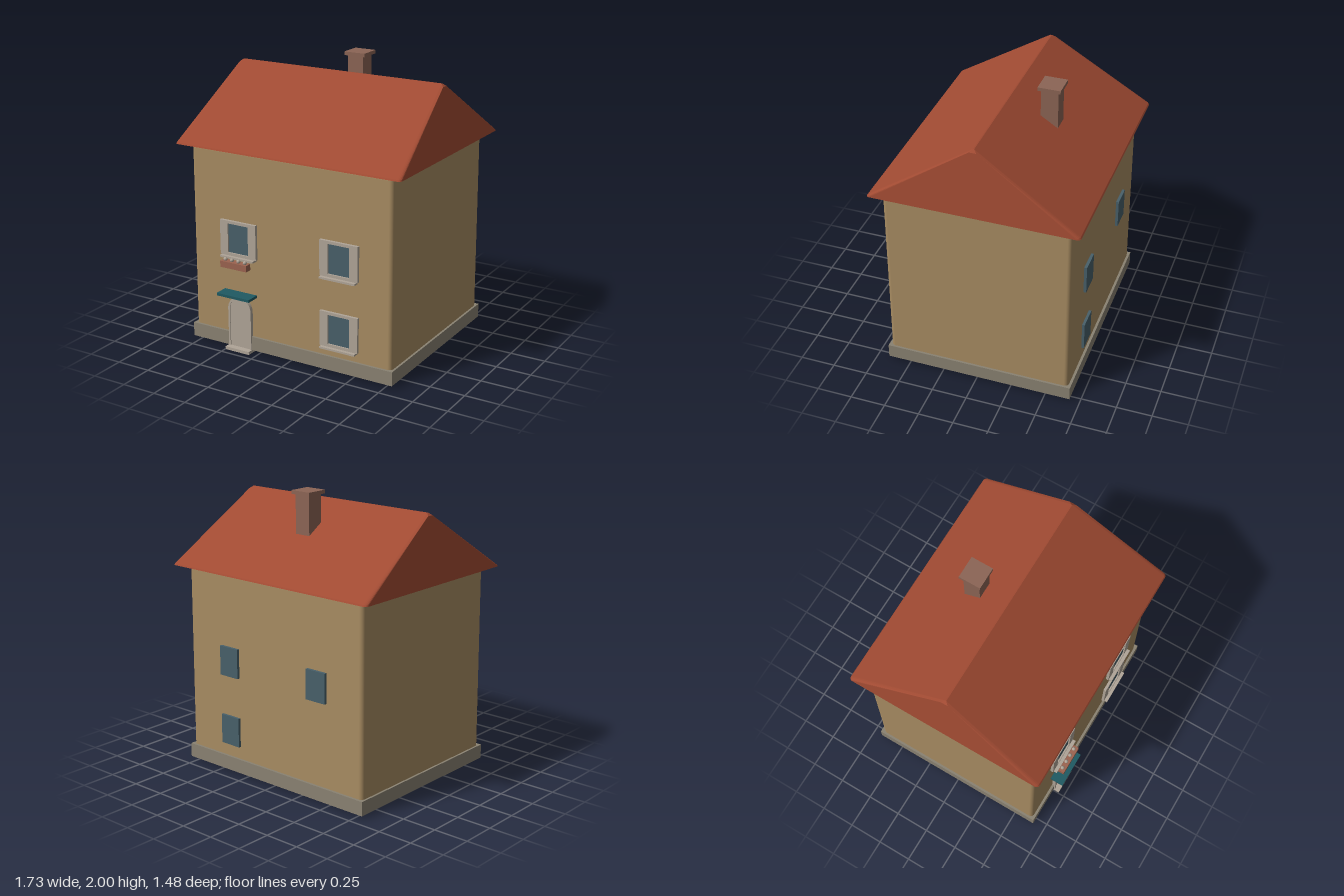
import * as THREE from 'three';
import { RoundedBoxGeometry } from 'three/addons/geometries/RoundedBoxGeometry.js';
import { ConvexGeometry } from 'three/addons/geometries/ConvexGeometry.js';

const mat = (color, extra = {}) => new THREE.MeshStandardMaterial({ color, ...extra });
const M = {
  wall: mat(0xa88c62), roof: mat(0xa04a32, { flatShading: true }), base: mat(0x8a8272),
  brick: mat(0x8c6555), trim: mat(0xb0a598), glass: mat(0x48606a),
  awning: mat(0x1f5a62), pot: mat(0x9c6450),
};

export function createModel() {
  const house = new THREE.Group();
  house.name = 'house';

  const add = (name, geometry, material, parent = house) => {
    const mesh = new THREE.Mesh(geometry, material);
    mesh.name = name;
    parent.add(mesh);
    return mesh;
  };
  // Box given by its ranges along x, y and z
  const box = (name, material, [x0, x1], [y0, y1], [z0, z1], parent) => {
    const g = new THREE.BoxGeometry(x1 - x0, y1 - y0, z1 - z0);
    g.translate((x0 + x1) / 2, (y0 + y1) / 2, (z0 + z1) / 2);
    return add(name, g, material, parent);
  };
  const extrude = (shape, depth, z) =>
    new THREE.ExtrudeGeometry(shape, { depth, bevelEnabled: false, curveSegments: 16 }).translate(0, 0, z);

  // Foundation
  box('foundation', M.base, [-0.8, 0.8], [0.02, 0.12], [-0.68, 0.66]);

  // Walls: rounded block, slightly narrower at the top
  const wall = new RoundedBoxGeometry(1.57, 1.4, 1.305, 4, 0.03);
  const p = wall.attributes.position;
  for (let i = 0; i < p.count; i++) {
    const s = 1 - 0.006 * (p.getY(i) / 1.4 + 0.5);
    p.setX(i, p.getX(i) * s);
    p.setZ(i, p.getZ(i) * s);
  }
  add('walls', wall, M.wall).position.set(0, 0.74, -0.01);

  // Roof: rounded eave corners below, softened ridge above
  const pts = [];
  for (const sx of [-1, 1]) {
    for (const [sz, zEdge] of [[1, 0.71], [-1, -0.735]]) {
      for (let i = 0; i <= 4; i++) {
        const a = (i / 4) * Math.PI / 2;
        const x = sx * (0.842 + 0.025 * Math.cos(a));
        const z = zEdge - sz * 0.025 * (1 - Math.sin(a));
        pts.push(new THREE.Vector3(x, 1.44, z), new THREE.Vector3(x * 0.998, 1.45, z - sz * 0.007));
      }
      pts.push(new THREE.Vector3(sx * 0.802, 1.89, -0.01 + sz * 0.025));
      pts.push(new THREE.Vector3(sx * 0.782, 1.908, -0.01 + sz * 0.004));
    }
  }
  add('roof', new ConvexGeometry(pts), M.roof);

  // Chimney
  const chimney = new THREE.Group();
  chimney.name = 'chimney';
  house.add(chimney);
  box('chimneyStack', M.brick, [-0.045, 0.075], [1.6, 1.98], [-0.333, -0.213], chimney);
  box('chimneyCap', M.brick, [-0.065, 0.095], [1.975, 2], [-0.353, -0.195], chimney);

  // Front windows: glass, surround with side shutters, sill
  for (const [x, y] of [[-0.4, 0.815], [0.394, 0.815], [0.394, 0.315]]) {
    const w = new THREE.Group();
    w.name = 'frontWindow';
    w.position.set(x, y, 0);
    house.add(w);
    const rect = (path, a, b) => path.moveTo(-a, -b).lineTo(a, -b).lineTo(a, b).lineTo(-a, b).closePath();
    const frame = rect(new THREE.Shape(), 0.145, 0.125);
    frame.holes.push(rect(new THREE.Path(), 0.082, 0.105));
    add('windowSurround', extrude(frame, 0.025, 0.636), M.trim, w);
    box('windowPane', M.glass, [-0.082, 0.082], [-0.105, 0.105], [0.63, 0.65], w);
    box('windowSill', M.trim, [-0.135, 0.135], [-0.138, -0.125], [0.63, 0.685], w);
    box('sillSupport', M.trim, [-0.12, 0.12], [-0.144, -0.138], [0.63, 0.675], w);
  }

  // Back windows
  for (const [x, y] of [[0.394, 0.815], [0.394, 0.315], [-0.4, 0.815]]) {
    box('backWindow', M.glass, [x - 0.082, x + 0.082], [y - 0.105, y + 0.105], [-0.68, -0.65]);
  }

  // Flower box with small flowers
  box('flowerBox', M.pot, [-0.505, -0.292], [0.622, 0.667], [0.675, 0.726]);
  for (let i = 0; i < 4; i++) {
    add('flower', new THREE.SphereGeometry(0.014, 10, 8), M.trim)
      .position.set(-0.478 + i * 0.053, 0.676, 0.7);
  }

  // Arched door in a raised frame
  const arch = (path, r, y0, y1) => path.moveTo(-r, y0).lineTo(r, y0).lineTo(r, y1)
    .absarc(0, y1, r, 0, Math.PI, false).lineTo(-r, y0);
  const doorFrame = arch(new THREE.Shape(), 0.094, 0.02, 0.301);
  doorFrame.holes.push(arch(new THREE.Path(), 0.08, 0.021, 0.301));
  add('doorFrame', extrude(doorFrame, 0.04, 0.628), M.trim).position.x = -0.397;
  add('door', extrude(arch(new THREE.Shape(), 0.082, 0.02, 0.301), 0.034, 0.628), M.trim).position.x = -0.397;
  box('doorStep', M.trim, [-0.495, -0.3], [0, 0.022], [0.62, 0.705]);

  // Canopy over the door
  box('doorCanopy', M.awning, [-0.531, -0.266], [0.411, 0.43], [0.63, 0.741]);

  return house;
}
